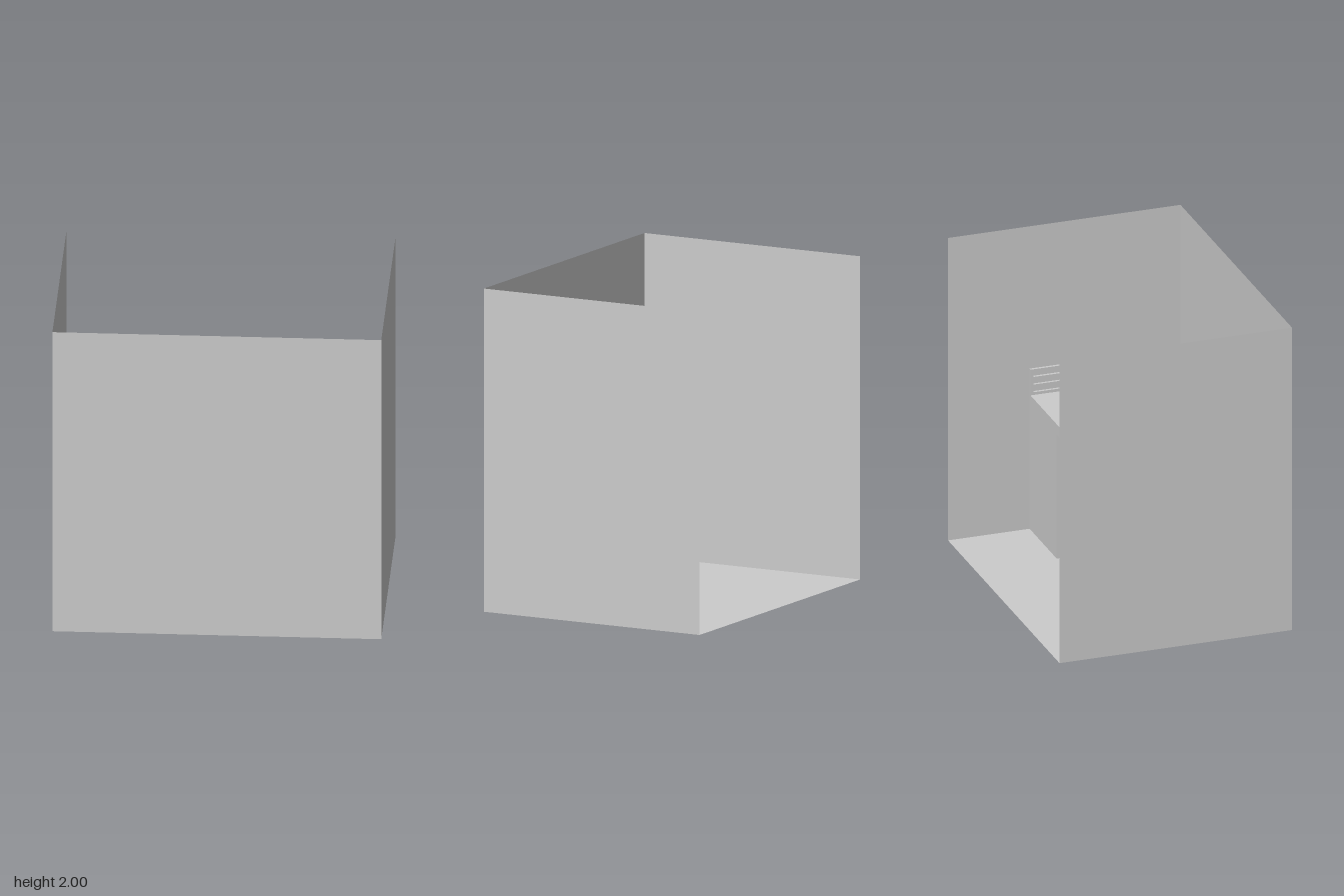
import * as THREE from 'three';

const material = new THREE.MeshStandardMaterial({ color: 0xcccccc, flatShading: true });
const sheet = new THREE.MeshStandardMaterial({ color: 0xcccccc, side: THREE.DoubleSide });

// Box given by its lower and upper corners
function block(parent, name, [x0, y0, z0], [x1, y1, z1]) {
  const mesh = new THREE.Mesh(new THREE.BoxGeometry(x1 - x0, y1 - y0, z1 - z0), material);
  mesh.position.set((x0 + x1) / 2, (y0 + y1) / 2, (z0 + z1) / 2);
  mesh.name = name;
  parent.add(mesh);
}

// Thin, two-sided room surface
function panel(parent, name, width, height, position, rotX = 0, rotY = 0) {
  const mesh = new THREE.Mesh(new THREE.PlaneGeometry(width, height), sheet);
  mesh.position.set(...position);
  mesh.rotation.set(rotX, rotY, 0);
  mesh.name = name;
  parent.add(mesh);
}

function group(parent, name) {
  const g = new THREE.Group();
  g.name = name;
  parent.add(g);
  return g;
}

export function createModel() {
  const model = new THREE.Group();
  model.name = 'roomWithBooth';

  // Room shell: floor and three walls, open at the back and top
  const W = 1, D = 0.75, H = 2;
  const room = group(model, 'room');
  panel(room, 'floor', 2 * W, 2 * D, [0, 0, 0], -Math.PI / 2);
  panel(room, 'frontWall', 2 * W, H, [0, H / 2, D]);
  for (const [name, s] of [['leftWall', 1], ['rightWall', -1]])
    panel(room, name, 2 * D, H, [s * W, H / 2, 0], 0, Math.PI / 2);

  // Booth in the front left corner of the room
  const booth = group(model, 'booth');
  const face = 0.51, end = -0.225, mid = (end + D) / 2;
  const roofLow = 0.82, roofTop = 0.89, t = 0.02, inner = W - 0.002, far = D - 0.002;
  block(booth, 'roof', [0.43, roofLow, end], [inner, roofTop, far]);
  block(booth, 'sideWall', [face, 0.002, end], [inner, roofLow, end + t]);

  // Open front frame: sill, head and three posts
  const front = group(booth, 'frontFrame');
  block(front, 'sill', [face, 0.002, end + t], [face + t, t, far]);
  block(front, 'head', [face, roofLow - t, end + t], [face + t, roofLow, far]);
  for (const z of [end + 1.5 * t, mid, far - t / 2])
    block(front, 'post', [face, t, z - t / 2], [face + t, roofLow - t, z + t / 2]);

  // Open partition frame dividing the booth in two
  const partition = group(booth, 'partitionFrame');
  const z0 = mid - t / 2, z1 = mid + t / 2;
  block(partition, 'bottomRail', [face + t, 0.002, z0], [inner, 0.04, z1]);
  block(partition, 'topRail', [face + t, roofLow - t, z0], [inner, roofLow, z1]);
  block(partition, 'wallPost', [inner - t, 0.04, z0], [inner, roofLow - t, z1]);

  // Slatted rack on the wall above the roof
  const rack = group(booth, 'roofRack');
  const rackTop = 1.06, rail = 0.018, count = 4;
  for (let i = 0; i < count; i++) {
    const y = roofTop + (i * (rackTop - rail - roofTop)) / (count - 1);
    block(rack, 'rail', [W - t, y, end + t], [inner, y + rail, far - t]);
  }
  for (const z of [end, far - t])
    block(rack, 'endPost', [W - t, roofTop, z], [inner, rackTop, z + t]);

  return model;
}
